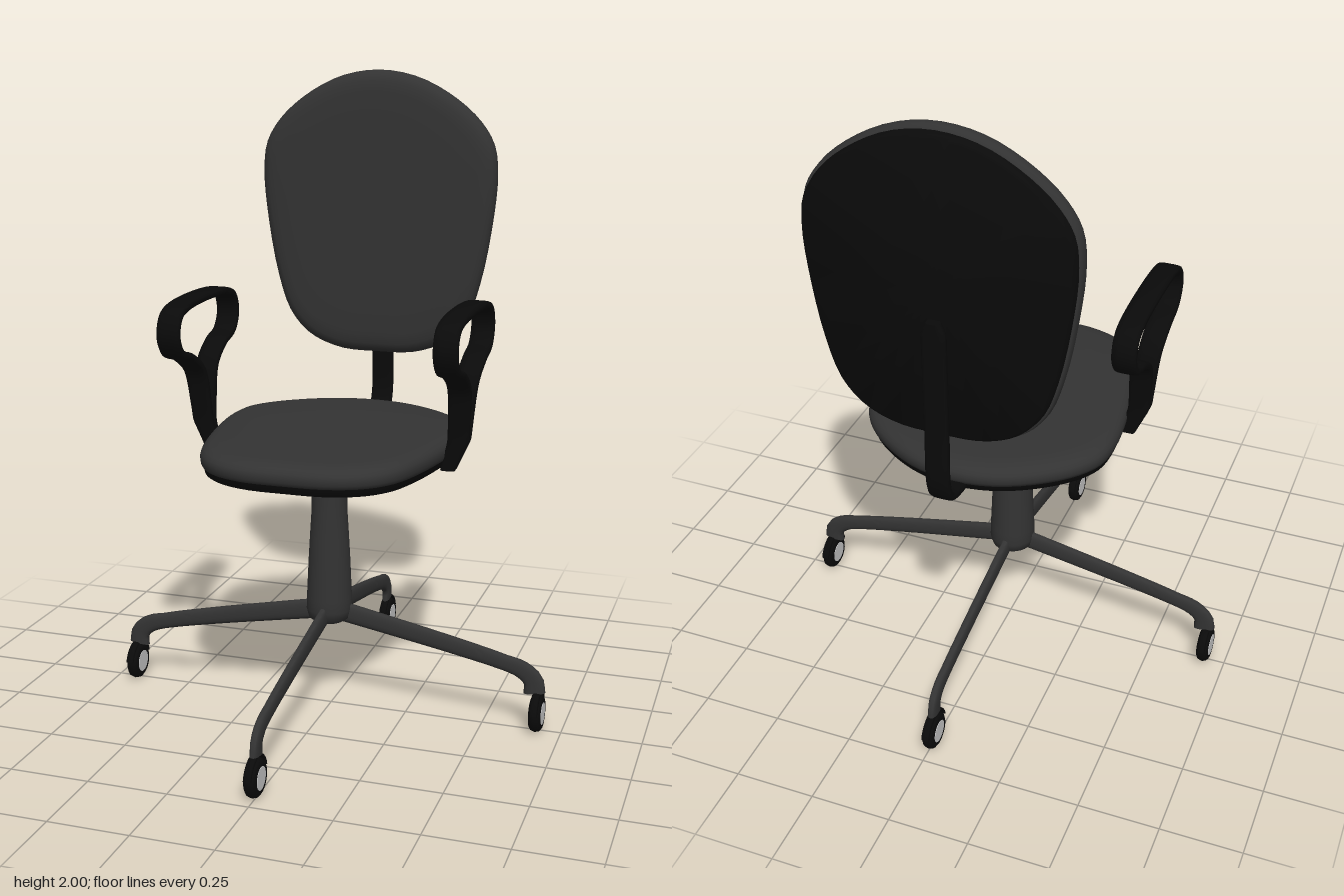
import * as THREE from 'three';
import { toCreasedNormals } from 'three/addons/utils/BufferGeometryUtils.js';

const grey = new THREE.MeshStandardMaterial({ color: 0x333333 });
const black = new THREE.MeshStandardMaterial({ color: 0x0a0a0a });
const light = new THREE.MeshStandardMaterial({ color: 0xcccccc });

function part(name, geometry, material, parent) {
  const mesh = new THREE.Mesh(geometry, material);
  mesh.name = name;
  parent.add(mesh);
  return mesh;
}

// Skin over a row of closed rings (each counter-clockwise about the row direction)
function loft(rings) {
  const m = rings[0].length, index = [];
  for (let i = 0; i < rings.length - 1; i++) {
    for (let j = 0; j < m; j++) {
      const k = (j + 1) % m;
      const a = i * m + j, b = i * m + k, c = b + m, d = a + m;
      index.push(a, b, c, a, c, d);
    }
  }
  const geo = new THREE.BufferGeometry().setFromPoints(rings.flat());
  geo.setIndex(index);
  geo.computeVertexNormals();
  return geo;
}

// Bar with a rounded section following [z, y] points; size(t, y) gives [centre x, half width, half thickness]
function sweep(points, steps, power, size) {
  const curve = new THREE.CatmullRomCurve3(points.map(([z, y]) => new THREE.Vector3(0, y, z)), false, 'centripetal');
  const X = new THREE.Vector3(1, 0, 0);
  const ring = (t, s) => {
    const p = curve.getPointAt(t), n = curve.getTangentAt(t).cross(X);
    const [xc, hw, ht] = size(t, p.y);
    return Array.from({ length: 16 }, (_, j) => {
      const a = (j + 0.5) / 16 * Math.PI * 2;
      const round = (v) => Math.sign(v) * Math.abs(v) ** power * s;
      return p.clone().addScaledVector(X, xc + hw * round(Math.cos(a))).addScaledVector(n, ht * round(Math.sin(a)));
    });
  };
  const rings = [ring(0, 0)];
  for (let i = 0; i <= steps; i++) rings.push(ring(i / steps, 1));
  rings.push(ring(1, 0));
  return toCreasedNormals(loft(rings), 0.9);
}

// Egg-shaped outline shared by seat and backrest
const half = [[0, -0.467], [0.13, -0.461], [0.235, -0.42], [0.305, -0.345], [0.35, -0.22],
  [0.387, -0.02], [0.4, 0.13], [0.388, 0.23], [0.34, 0.308], [0.25, 0.385], [0.13, 0.446], [0, 0.467]];
const mirrored = half.slice(1, -1).reverse().map(([x, y]) => [-x, y]);
const outline = new THREE.CatmullRomCurve3(
  [...half, ...mirrored].map(([x, y]) => new THREE.Vector3(x, y, 0)), true).getPoints(72).slice(0, -1);

// Rings of [scale, depth] across the pad
const pad = (rows) => loft(rows.map(([s, d]) => outline.map((p) => new THREE.Vector3(p.x * s, p.y * s, d))));

function cushion(name, parent) {
  const g = new THREE.Group();
  g.name = name;
  part(name + 'Shell', toCreasedNormals(pad([[0, 0], [0.95, 0], [0.965, 0.005], [0.975, 0.027], [0.9, 0.03]]), 0.9), black, g);
  part(name + 'Cushion', pad([[0.95, 0.027], [0.985, 0.028], [0.996, 0.04], [1, 0.055], [0.992, 0.068], [0.97, 0.08],
    [0.93, 0.089], [0.86, 0.094], [0.7, 0.0965], [0.4, 0.097], [0, 0.097]]), grey, g);
  parent.add(g);
  return g;
}

function makeCaster() {
  const g = new THREE.Group();
  g.name = 'caster';
  const tyre = [[0, -0.012], [0.034, -0.018], [0.046, -0.019], [0.055, -0.013], [0.059, 0],
    [0.055, 0.013], [0.046, 0.019], [0.034, 0.018], [0, 0.012]].map(([r, y]) => new THREE.Vector2(r, y));
  part('wheel', new THREE.LatheGeometry(tyre, 28), black, g).rotation.z = Math.PI / 2;
  part('hub', new THREE.CylinderGeometry(0.035, 0.035, 0.039, 24), light, g).rotation.z = Math.PI / 2;
  // Guard arching over the wheel
  const arc = Math.PI * 0.86;
  const fender = part('fender', new THREE.TorusGeometry(0.066, 0.005, 8, 24, arc)
    .rotateZ((Math.PI - arc) / 2).scale(1, 1, 2.6), black, g);
  fender.rotation.y = Math.PI / 2;
  return g;
}

export function createModel() {
  const model = new THREE.Group();
  model.name = 'officeChair';

  // Padded parts
  cushion('backrest', model).position.set(0, 1.533, -0.557);
  const seat = cushion('seat', model);
  seat.rotation.x = -Math.PI / 2;
  seat.scale.set(0.98, 0.995, 0.95);
  seat.position.set(0, 0.829, -0.004);

  // Bent strap carrying the backrest
  part('backSupport', sweep([[-0.3, 0.838], [-0.42, 0.845], [-0.49, 0.849], [-0.545, 0.868], [-0.57, 0.92],
    [-0.572, 1.1], [-0.574, 1.35], [-0.575, 1.455]], 48, 0.5,
  (t) => [0, 0.036 * Math.min(1, 0.55 + (1 - t) * 12), 0.0135]), black, model);

  // Looped armrests, tapering inward to the seat edge
  const arm = [[0.008, 0.825], [0.01, 0.9], [0.02, 0.98], [0.05, 1.09], [0.13, 1.147], [0.21, 1.176],
    [0.241, 1.23], [0.222, 1.285], [0.165, 1.308]];
  const loop = [...arm.map(([z, y]) => [0.024 + z, y]), ...arm.slice().reverse().map(([z, y]) => [0.024 - z, y])];
  for (const side of [1, -1]) {
    const size = (t, y) => {
      const low = THREE.MathUtils.clamp((1.15 - y) / 0.23, 0, 1);
      const foot = THREE.MathUtils.clamp((0.92 - y) / 0.095, 0, 1);
      const outer = 0.464 - 0.016 * low - 0.043 * foot, inner = 0.39 - 0.008 * low - 0.022 * foot;
      return [side * (outer + inner) / 2, (outer - inner) / 2, 0.0135];
    };
    part(side > 0 ? 'leftArmrest' : 'rightArmrest', sweep(loop, 110, 0.5, size), black, model);
  }

  // Base: column, four legs, casters
  const base = new THREE.Group();
  base.name = 'base';
  base.position.set(-0.004, 0, 0.006);
  model.add(base);
  const profile = [[0, 0.285], [0.045, 0.288], [0.066, 0.302], [0.073, 0.33], [0.072, 0.37], [0.066, 0.5],
    [0.062, 0.57], [0.057, 0.65], [0.055, 0.75], [0.055, 0.835]].map(([r, y]) => new THREE.Vector2(r, y));
  part('column', new THREE.LatheGeometry(profile, 32), grey, base);

  const legPath = [[0.02, 0.325], [0.2, 0.291], [0.4, 0.252], [0.56, 0.217], [0.63, 0.196], [0.664, 0.165], [0.669, 0.125]];
  const legGeo = sweep(legPath, 40, 0.8,
    (t) => [0, 0.0135, t < 0.8 ? 0.033 - 0.0088 * t : 0.026 + (t - 0.8) * 0.04]);
  for (let i = 0; i < 4; i++) {
    const a = i * Math.PI / 2;
    part('leg', legGeo, grey, base).rotation.y = a;
    const caster = makeCaster();
    caster.position.set(Math.sin(a) * 0.678, 0.06, Math.cos(a) * 0.678);
    base.add(caster);
  }
  return model;
}
